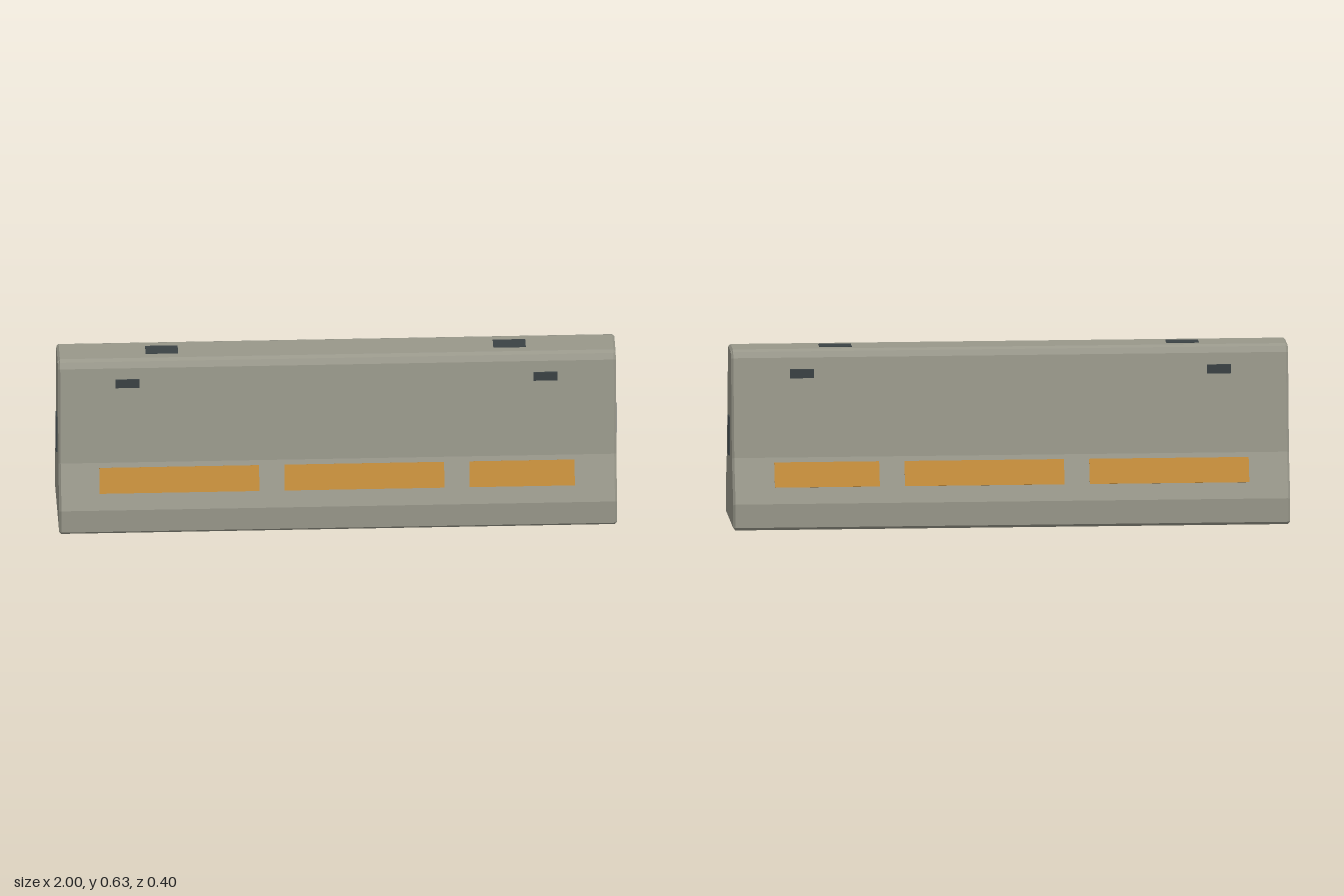
import * as THREE from 'three';

const concrete = new THREE.MeshStandardMaterial({ color: 0x98978a });
concrete.name = 'concrete';
const amber = new THREE.MeshStandardMaterial({ color: 0xc08a3a });
amber.name = 'amber';
const darkSteel = new THREE.MeshStandardMaterial({ color: 0x3a4244 });
darkSteel.name = 'darkSteel';

// Half cross-sections as [z, y], bottom to top: full size, and inset at the ends
const OUTER = [[0.19, 0], [0.2, 0.01], [0.2, 0.095], [0.133, 0.252], [0.087, 0.605], [0.074, 0.625], [0.059, 0.632]];
const INNER = [[0.19, 0.009], [0.191, 0.01], [0.191, 0.091], [0.125, 0.249], [0.079, 0.602], [0.07, 0.614], [0.062, 0.624]];

// Long body lofted through four rings, with chamfered ends
function bodyGeometry() {
  const ring = (half, x) => [
    ...half.map(([z, y]) => [x, y, z]),
    ...half.slice().reverse().map(([z, y]) => [x, y, -z]),
  ];
  const rings = [ring(INNER, -0.995), ring(OUTER, -0.987), ring(OUTER, 0.987), ring(INNER, 0.995)];
  const n = rings[0].length;
  const out = [];
  const quad = (a, b, c, d) => out.push(...a, ...b, ...c, ...a, ...c, ...d);
  for (let r = 0; r < 3; r++) {
    for (let i = 0; i < n; i++) {
      const j = (i + 1) % n;
      quad(rings[r][i], rings[r + 1][i], rings[r + 1][j], rings[r][j]);
    }
  }
  // End caps as strips between mirrored points
  for (let i = 0; i < n / 2 - 1; i++) {
    const [l, r] = [rings[0], rings[3]];
    quad(l[i], l[i + 1], l[n - 2 - i], l[n - 1 - i]);
    quad(r[n - 1 - i], r[n - 2 - i], r[i + 1], r[i]);
  }
  const g = new THREE.BufferGeometry();
  g.setAttribute('position', new THREE.Float32BufferAttribute(out, 3));
  g.computeVertexNormals();
  return g;
}

export function createModel() {
  const group = new THREE.Group();
  const add = (name, geometry, material, x, y, z) => {
    const mesh = new THREE.Mesh(geometry, material);
    mesh.name = name;
    mesh.position.set(x, y, z);
    group.add(mesh);
    return mesh;
  };
  const box = (w, h, d) => new THREE.BoxGeometry(w, h, d);

  add('barrierBody', bodyGeometry(), concrete, 0, 0, 0);

  // Amber strips lying on the sloped foot, front and back
  const [lowZ, lowY] = OUTER[2];
  const [highZ, highY] = OUTER[3];
  const tilt = Math.atan2(lowZ - highZ, highY - lowY);
  const stripY = 0.193;
  const stripZ = lowZ + (highZ - lowZ) * (stripY - lowY) / (highY - lowY);
  const stripHeight = 0.085 / Math.cos(tilt);
  for (const side of [1, -1]) {
    for (const [x0, x1] of [[-0.85, -0.28], [-0.19, 0.38], [0.47, 0.845]]) {
      const strip = add('reflectorStrip', box(x1 - x0, stripHeight, 0.003), amber,
        (x0 + x1) / 2, stripY, side * stripZ);
      strip.rotation.x = -side * tilt;
    }
    // Small anchor plates high on each face
    for (const x of [-0.747, 0.743]) {
      add('anchorPlate', box(0.086, 0.032, 0.009), darkSteel, x, 0.548, side * 0.0945);
    }
    // Connector plate on each end
    add('endConnector', box(0.009, 0.14, 0.05), darkSteel, side * 0.9955, 0.313, 0);
  }

  // Lifting plates on top
  for (const x of [-0.622, 0.618]) {
    add('liftingPlate', box(0.116, 0.008, 0.06), darkSteel, x, 0.63, 0);
  }
  return group;
}
